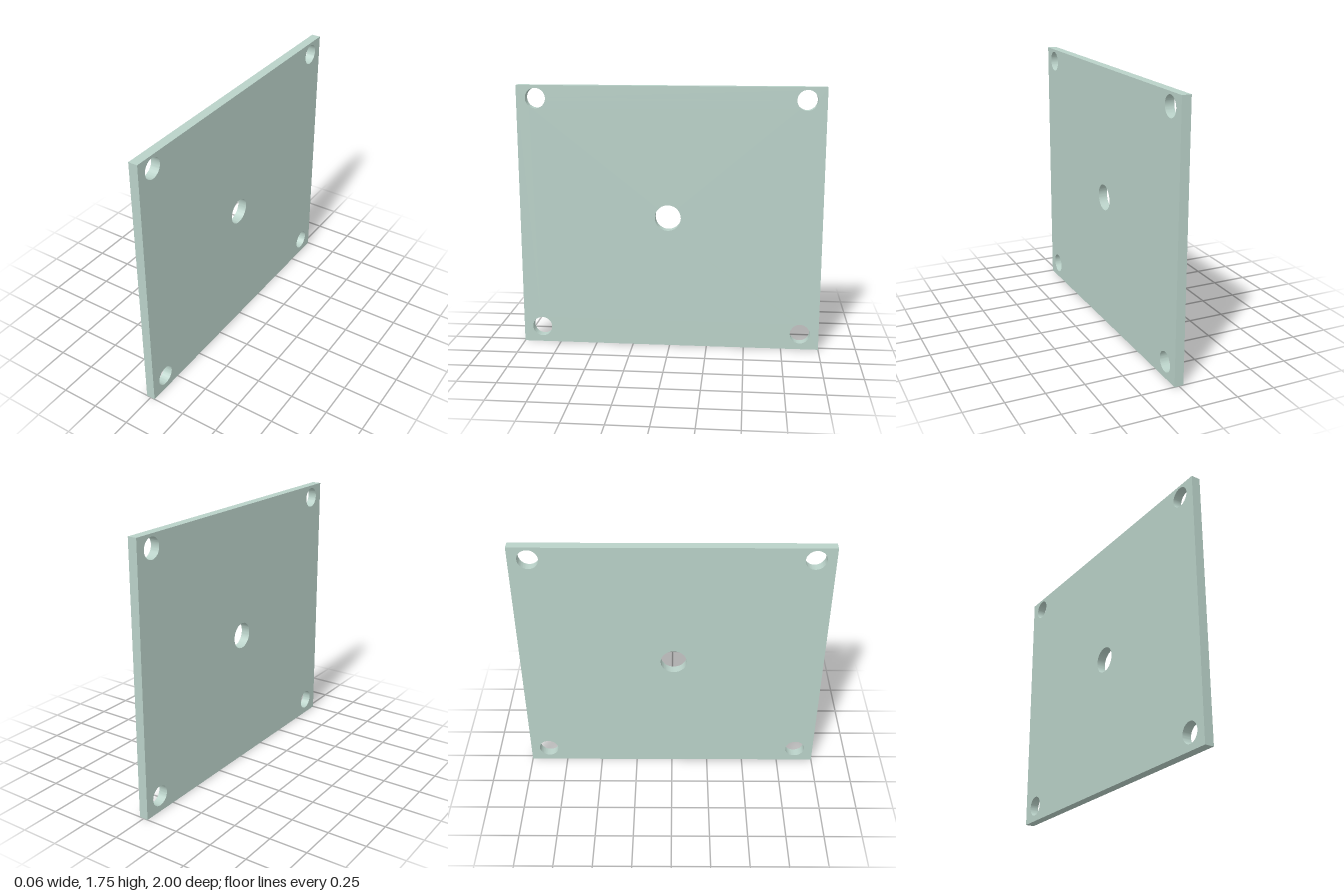
import * as THREE from 'three';
import { toCreasedNormals } from 'three/addons/utils/BufferGeometryUtils.js';

const HEIGHT = 1.75, HALF_WIDTH = 1, THICKNESS = 0.06;

function circularHole(z, y, radius) {
  return new THREE.Path().absarc(z, y, radius, 0, Math.PI * 2, true);
}

export function createModel() {
  const group = new THREE.Group();
  group.name = 'mountingPlate';

  // Plate outline, drawn with the shape's x running along z
  const outline = new THREE.Shape([
    new THREE.Vector2(-HALF_WIDTH, 0),
    new THREE.Vector2(HALF_WIDTH, 0),
    new THREE.Vector2(HALF_WIDTH, HEIGHT),
    new THREE.Vector2(-HALF_WIDTH, HEIGHT),
  ]);

  // Four corner bolt holes
  for (const z of [-0.875, 0.875]) {
    for (const y of [0.107, 1.666]) outline.holes.push(circularHole(z, y, 0.066));
  }

  // Larger hole near the middle
  outline.holes.push(circularHole(0.012, 0.887, 0.086));

  const geometry = new THREE.ExtrudeGeometry(outline, {
    depth: THICKNESS, bevelEnabled: false, curveSegments: 32,
  });
  geometry.translate(0, 0, -THICKNESS / 2);
  geometry.rotateY(-Math.PI / 2);

  // Smooth hole walls with sharp rims
  const plate = new THREE.Mesh(
    toCreasedNormals(geometry, Math.PI / 6),
    new THREE.MeshStandardMaterial({ color: 0xb9d1c8 })
  );
  plate.name = 'plate';
  group.add(plate);
  return group;
}
